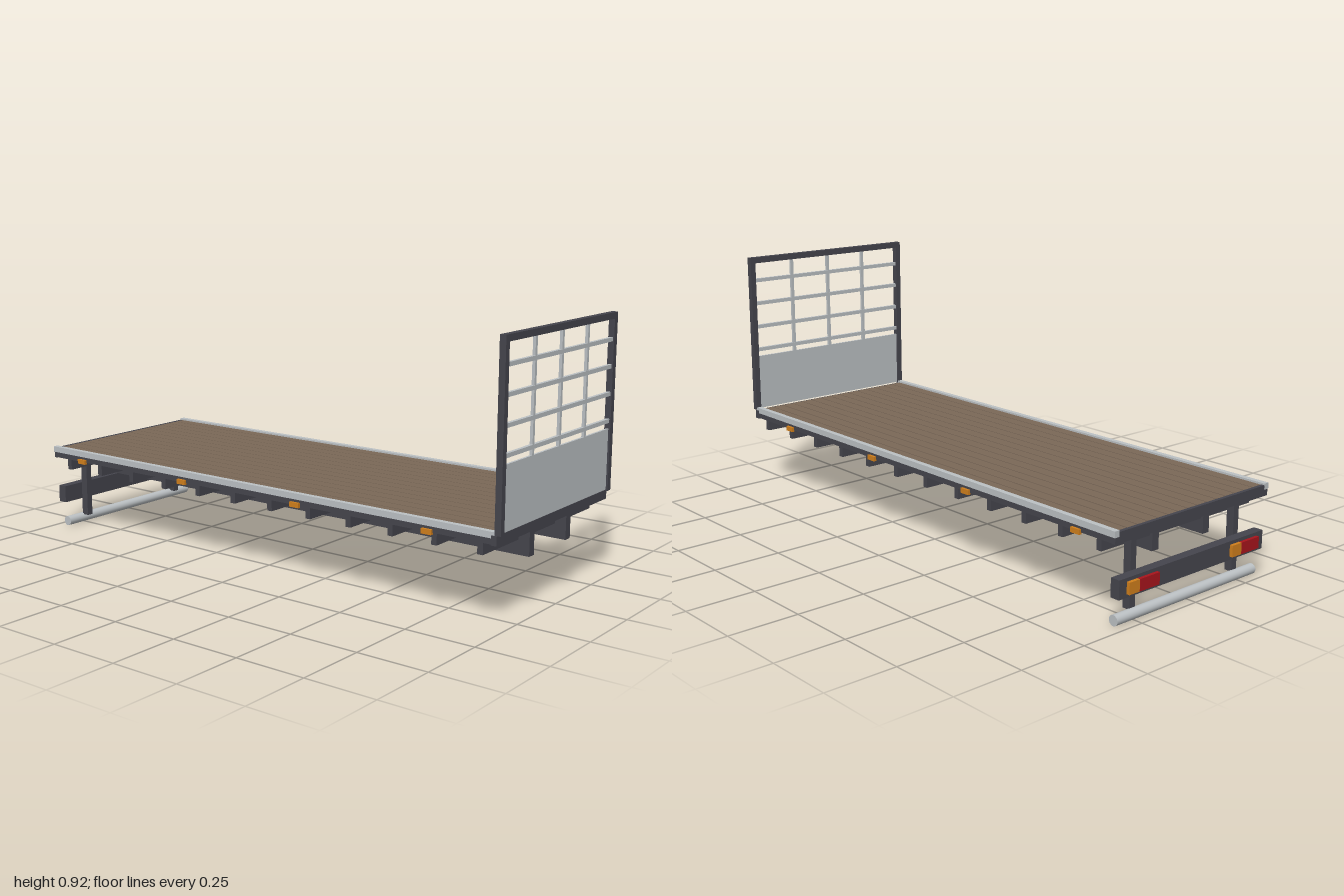
import * as THREE from 'three';

const mat = (name, color) => {
  const m = new THREE.MeshStandardMaterial({ color });
  m.name = name;
  return m;
};

export function createModel() {
  const steel = mat('dark steel', 0x45454d);
  const alloy = mat('aluminium', 0xbcc1c4);
  const wood = mat('deck wood', 0x7a6857);
  const amber = mat('amber lens', 0xd07f1c);
  const red = mat('red lens', 0xa8141c);

  const root = new THREE.Group();
  root.name = 'flatbedTray';

  const group = (name) => {
    const g = new THREE.Group();
    g.name = name;
    root.add(g);
    return g;
  };
  // box given by its extents on each axis
  const box = (parent, name, m, [x0, x1], [y0, y1], [z0, z1]) => {
    const mesh = new THREE.Mesh(new THREE.BoxGeometry(x1 - x0, y1 - y0, z1 - z0), m);
    mesh.position.set((x0 + x1) / 2, (y0 + y1) / 2, (z0 + z1) / 2);
    mesh.name = name;
    parent.add(mesh);
    return mesh;
  };
  const span = (c, w) => [c - w / 2, c + w / 2];

  // deck: subfloor, planks and edge rails
  const deck = group('deck');
  box(deck, 'subfloor', steel, [-0.345, 0.345], [0.276, 0.295], [-0.97, 0.966]);
  const planks = 15, pitch = 0.69 / planks;
  for (let i = 0; i < planks; i++) {
    const x = -0.345 + pitch * (i + 0.5);
    box(deck, 'plank', wood, span(x, pitch - 0.004), [0.295, 0.312], [-0.972, 0.966]);
  }
  box(deck, 'frontRail', steel, [-0.366, 0.366], [0.275, 0.307], [0.966, 0.986]);
  box(deck, 'rearRail', steel, [-0.362, 0.362], [0.275, 0.312], [-0.985, -0.972]);
  for (const s of [-1, 1]) {
    box(deck, 'sideRail', steel, span(s * 0.354, 0.018), [0.277, 0.297], [-0.972, 0.966]);
    box(deck, 'sideTrim', alloy, span(s * 0.355, 0.02), [0.297, 0.318], [-0.986, 0.978]);
  }

  // side marker lamps
  const markers = group('sideMarkers');
  for (const s of [-1, 1])
    for (const z of [0.737, 0.21, -0.308, -0.825])
      box(markers, 'markerLamp', amber, span(s * 0.367, 0.011), [0.271, 0.288], span(z, 0.038));

  // chassis rails and cross members
  const chassis = group('chassis');
  for (const s of [-1, 1])
    box(chassis, 'chassisRail', steel, span(s * 0.121, 0.03), [0.185, 0.276], [-0.93, 0.972]);
  for (let i = 0; i < 12; i++)
    box(chassis, 'crossMember', steel, [-0.353, 0.353], [0.235, 0.276], span(0.922 - i * 0.1666, 0.02));

  // headboard: frame, lower sheet and open grille
  const head = group('headboard');
  const frameZ = [0.978, 1.0];
  for (const s of [-1, 1])
    box(head, 'framePost', steel, span(s * 0.3555, 0.021), [0.308, 0.895], frameZ);
  box(head, 'frameTop', steel, [-0.366, 0.366], [0.895, 0.917], frameZ);
  box(head, 'sheet', alloy, [-0.345, 0.345], [0.312, 0.523], [0.985, 0.993]);
  for (const y of [0.55, 0.642, 0.735, 0.826])
    box(head, 'grilleBar', alloy, [-0.345, 0.345], span(y, 0.014), [0.983, 0.995]);
  for (const x of [-0.172, 0, 0.172])
    box(head, 'grilleUpright', alloy, span(x, 0.012), [0.523, 0.895], [0.984, 0.994]);

  // rear underrun guard with lamp beam
  const rear = group('rearGuard');
  for (const s of [-1, 1])
    box(rear, 'guardPost', steel, span(s * 0.245, 0.024), [0.03, 0.276], [-0.953, -0.924]);
  box(rear, 'lampBeam', steel, [-0.343, 0.343], [0.095, 0.159], [-0.988, -0.953]);
  const pipe = new THREE.Mesh(new THREE.CylinderGeometry(0.018, 0.018, 0.666, 24), alloy);
  pipe.rotation.z = Math.PI / 2;
  pipe.position.set(0, 0.018, -0.957);
  pipe.name = 'guardPipe';
  rear.add(pipe);
  // each lamp has its amber part toward +x
  for (const x of [-0.31, 0.175]) {
    box(rear, 'tailLamp', red, [x, x + 0.088], [0.107, 0.147], [-1.0, -0.988]);
    box(rear, 'turnLamp', amber, [x + 0.09, x + 0.135], [0.107, 0.147], [-1.0, -0.988]);
  }

  return root;
}
